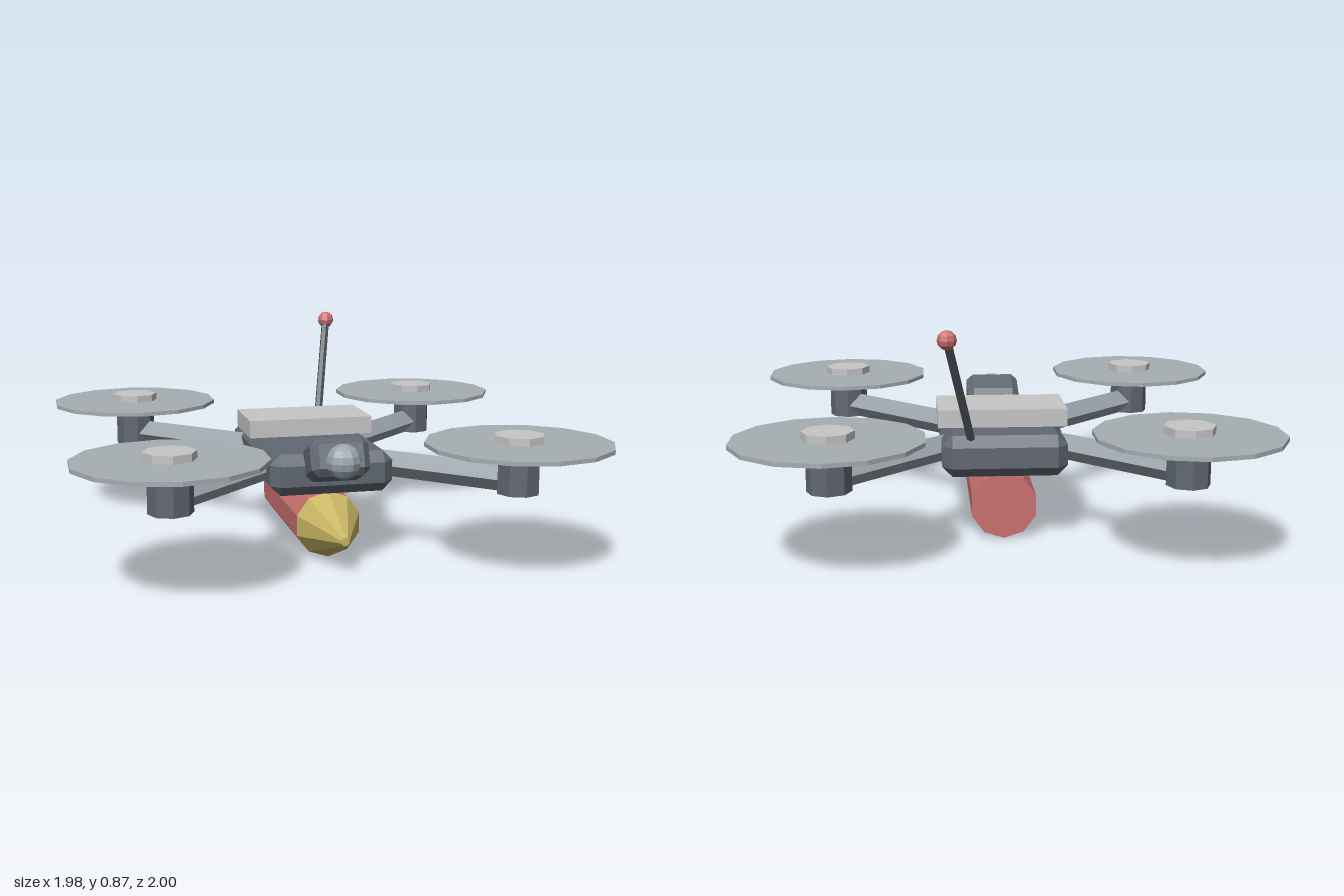
import * as THREE from 'three';
import { ConvexGeometry } from 'three/addons/geometries/ConvexGeometry.js';

const COLORS = {
  slate: 0x616872, armGrey: 0x98a1a9, rotorGrey: 0xa6aeb3, paleGrey: 0xc6c6c6,
  lensGrey: 0x9aa5ae, mastGrey: 0x50565e, red: 0xcb7070, yellow: 0xc9b562,
};

// Box with every edge and corner cut by b; w, h, d are half sizes
function chamferedBox(w, h, d, b) {
  const points = [];
  for (const x of [-1, 1]) for (const y of [-1, 1]) for (const z of [-1, 1]) {
    points.push(
      new THREE.Vector3(x * w, y * (h - b), z * (d - b)),
      new THREE.Vector3(x * (w - b), y * h, z * (d - b)),
      new THREE.Vector3(x * (w - b), y * (h - b), z * d));
  }
  return new ConvexGeometry(points);
}

export function createModel() {
  const model = new THREE.Group();
  model.name = 'quadcopter';

  const mats = {};
  for (const [name, color] of Object.entries(COLORS)) {
    mats[name] = new THREE.MeshStandardMaterial({ color, flatShading: true });
    mats[name].name = name;
  }

  function add(name, geometry, material, x = 0, y = 0, z = 0, parent = model) {
    const mesh = new THREE.Mesh(geometry, mats[material]);
    mesh.name = name;
    mesh.position.set(x, y, z);
    parent.add(mesh);
    return mesh;
  }

  // Straight rod between two points
  function rod(name, from, to, radius, sides, material, parent = model) {
    const dir = to.clone().sub(from);
    const mesh = add(name, new THREE.CylinderGeometry(radius, radius, dir.length(), sides), material, 0, 0, 0, parent);
    mesh.position.copy(from).add(to).multiplyScalar(0.5);
    mesh.quaternion.setFromUnitVectors(new THREE.Vector3(0, 1, 0), dir.normalize());
    return mesh;
  }

  // Body and battery plate
  add('body', chamferedBox(0.24, 0.08, 0.418, 0.04), 'slate', 0, 0.35, 0);
  add('batteryPlate', new THREE.BoxGeometry(0.505, 0.07, 0.29), 'paleGrey', 0, 0.465, -0.1);

  // Camera, tilted upward, with its lens
  const camera = add('camera', chamferedBox(0.112, 0.073, 0.083, 0.027), 'slate', 0, 0.417, 0.45);
  camera.rotation.x = -0.38;
  add('lens', new THREE.SphereGeometry(0.066, 10, 8), 'lensGrey', 0, 0.43, 0.552);

  // Four arms with diamond section, each with motor, rotor disc and hub
  const reach = 0.646;
  for (const sx of [-1, 1]) for (const sz of [-1, 1]) {
    const unit = new THREE.Group();
    unit.name = (sz > 0 ? 'front' : 'back') + (sx > 0 ? 'Left' : 'Right') + 'Rotor';
    model.add(unit);

    const arm = add('arm', new THREE.CylinderGeometry(0.052, 0.052, 0.84, 4), 'armGrey', 0, 0, 0, unit);
    arm.geometry.rotateX(Math.PI / 2).translate(0, 0, reach * Math.SQRT2 - 0.42);
    arm.position.y = 0.35;
    arm.rotation.y = Math.atan2(sx, sz);

    const x = sx * reach, z = sz * reach;
    add('motor', new THREE.CylinderGeometry(0.082, 0.082, 0.16, 8), 'slate', x, 0.38, z, unit);
    add('rotorShaft', new THREE.CylinderGeometry(0.03, 0.03, 0.04, 8), 'slate', x, 0.465, z, unit);
    add('rotorDisc', new THREE.CylinderGeometry(0.352, 0.352, 0.016, 14), 'rotorGrey', x, 0.484, z, unit);
    add('rotorHub', new THREE.CylinderGeometry(0.096, 0.096, 0.034, 8), 'paleGrey', x, 0.504, z, unit);
  }

  // Slung canister with a blunt pointed nose
  const canister = new THREE.CylinderGeometry(0.131, 0.131, 0.645, 10);
  add('canister', canister.rotateX(Math.PI / 2), 'red', 0, 0.135, 0.002);
  const nose = new THREE.CylinderGeometry(0.017, 0.131, 0.26, 10);
  add('canisterNose', nose.rotateX(Math.PI / 2), 'yellow', 0, 0.135, 0.455);

  // Antenna leaning back and outward
  const tip = new THREE.Vector3(0.223, 0.833, -0.615);
  rod('antennaMast', new THREE.Vector3(0.128, 0.41, -0.375), tip, 0.017, 6, 'mastGrey');
  add('antennaTip', new THREE.SphereGeometry(0.036, 8, 6), 'red', tip.x, tip.y, tip.z);

  return model;
}
